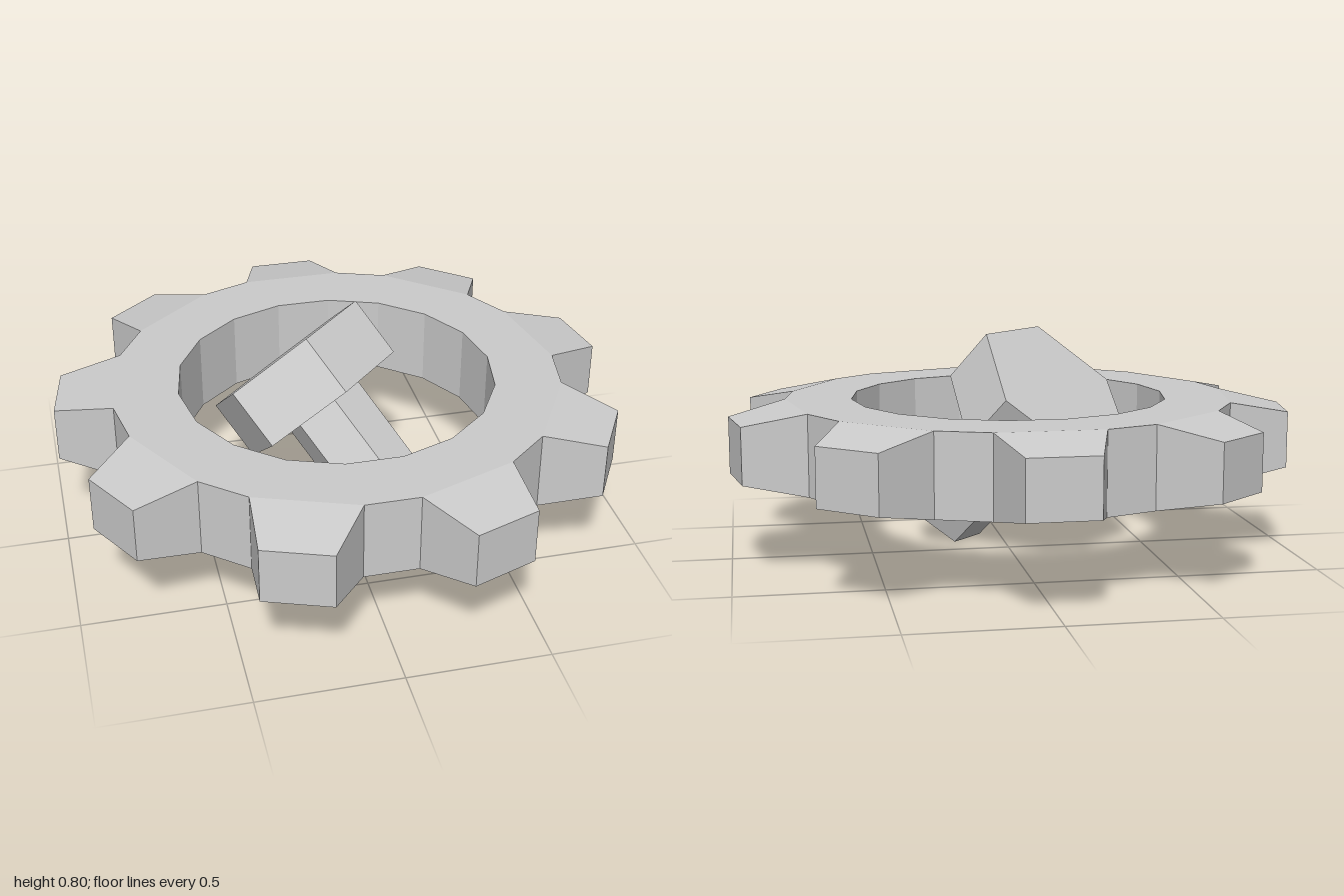
import * as THREE from 'three';

const material = new THREE.MeshStandardMaterial({ color: 0xcccccc, flatShading: true });

// Upright edge of the gear at a given angle and radius, as a low and a high point
function post(degrees, radius, halfHeight) {
  const a = THREE.MathUtils.degToRad(degrees);
  const x = radius * Math.sin(a), z = -radius * Math.cos(a);
  return { lo: [x, -halfHeight, z], hi: [x, halfHeight, z] };
}

// Ring with tapered teeth, built sector by sector
function gearGeometry(teeth) {
  const pos = [];
  const quad = (a, b, c, d) => pos.push(...a, ...b, ...c, ...a, ...c, ...d);
  const wall = (p, q) => quad(p.lo, q.lo, q.hi, p.hi);
  const caps = (a, b, c, d) => {
    quad(a.hi, b.hi, c.hi, d.hi);
    quad(d.lo, c.lo, b.lo, a.lo);
  };
  const step = 360 / teeth, body = 0.1425, tip = 0.1;
  for (let i = 0; i < teeth; i++) {
    const t = i * step;
    const in0 = post(t - step / 4, 0.566, body);
    const in1 = post(t + step / 4, 0.566, body);
    const in2 = post(t + step * 0.75, 0.566, body);
    const baseL = post(t - 13.2, 0.8, body);
    const baseR = post(t + 13.2, 0.8, body);
    const next = post(t + step - 13.2, 0.8, body);
    const tipL = post(t - 6.9, 1.0, tip);
    const tipR = post(t + 6.9, 1.0, tip);
    // flat ring faces and bore
    caps(in0, in1, baseR, baseL);
    caps(in1, in2, next, baseR);
    wall(in0, in1);
    wall(in1, in2);
    // sloped tooth faces and outer walls
    caps(baseL, baseR, tipR, tipL);
    wall(tipL, baseL);
    wall(tipR, tipL);
    wall(baseR, tipR);
    wall(next, baseR);
  }
  const g = new THREE.BufferGeometry();
  g.setAttribute('position', new THREE.Float32BufferAttribute(pos, 3));
  g.computeVertexNormals();
  return g;
}

// Hexagonal prism whose top lies at the given depth below the bolt's head face
function hexPrism(name, radius, depth, length) {
  const mesh = new THREE.Mesh(new THREE.CylinderGeometry(radius, radius, length, 6), material);
  mesh.name = name;
  mesh.position.y = -depth - length / 2;
  return mesh;
}

export function createModel() {
  const model = new THREE.Group();
  model.name = 'gearAndBolt';

  const gear = new THREE.Mesh(gearGeometry(9), material);
  gear.name = 'gear';
  gear.position.set(0, 0.4225, 0.009);
  model.add(gear);

  // Bolt leaning through the bore, origin at the centre of its head face
  const bolt = new THREE.Group();
  bolt.name = 'bolt';
  bolt.add(hexPrism('boltHead', 0.325, 0, 0.227));
  bolt.add(hexPrism('boltShaft', 0.156, 0.227, 0.485));
  bolt.position.set(-0.16, 0.6, -0.12);
  bolt.rotation.set(0, -Math.PI / 4, Math.PI / 4, 'YXZ');
  model.add(bolt);

  return model;
}
